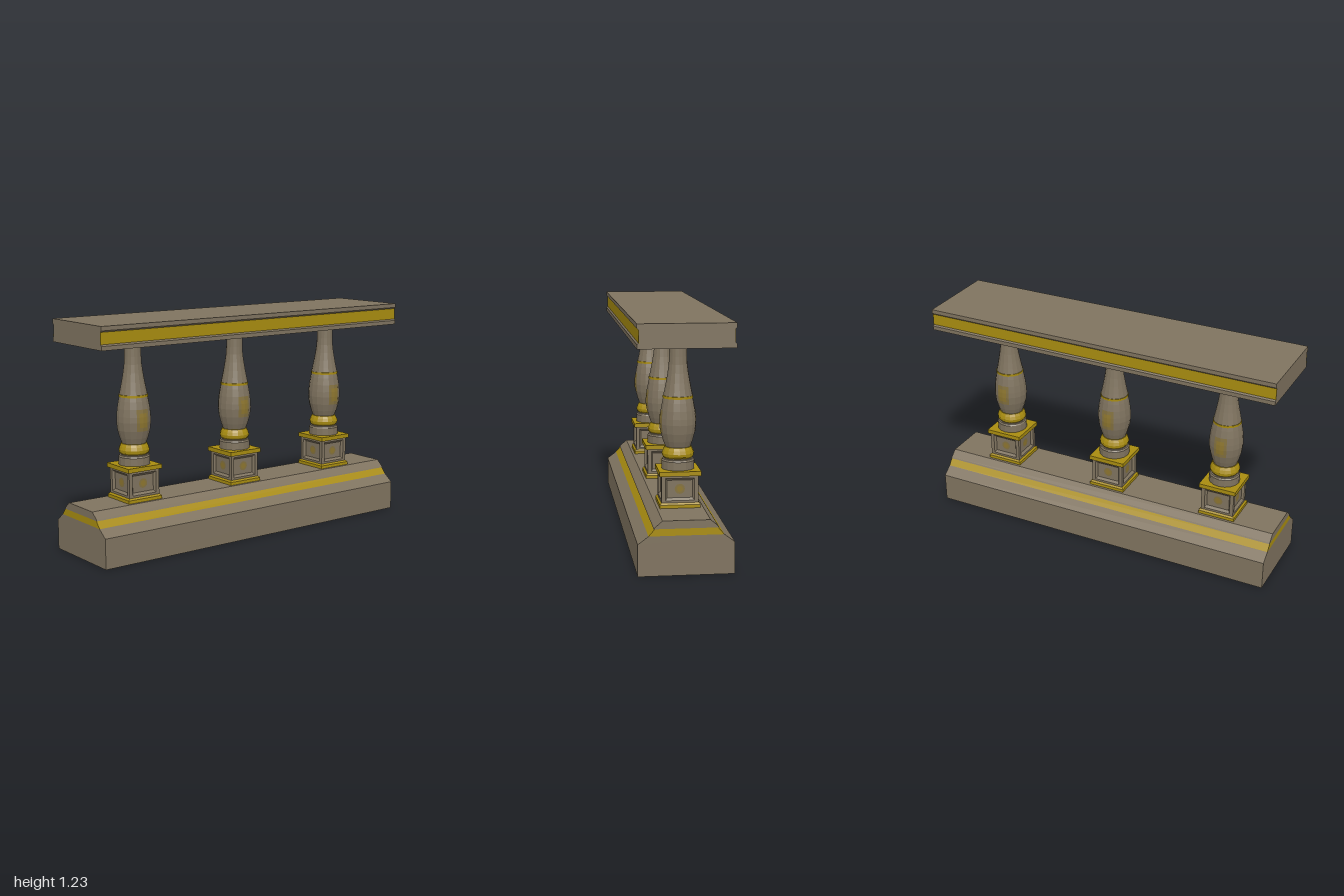
import * as THREE from 'three';

const mat = (name, color) => {
  const m = new THREE.MeshStandardMaterial({ color, flatShading: true });
  m.name = name;
  return m;
};

export function createModel() {
  const stone = mat('stone', 0x7f735f);
  const gold = mat('gold', 0xa88c10);
  const tintLight = mat('faintGold', 0x83713f);
  const tintStrong = mat('softGold', 0x8c752f);

  const add = (parent, name, geometry, material) => {
    const mesh = new THREE.Mesh(geometry, material);
    mesh.name = name;
    parent.add(mesh);
    return mesh;
  };

  // Symmetric half profile [z, y], listed upwards, run along the full length
  const beam = (half) => {
    const pts = [...half, ...half.map(([z, y]) => [-z, y]).reverse()];
    const shape = new THREE.Shape(pts.map(([z, y]) => new THREE.Vector2(z, y)));
    return new THREE.ExtrudeGeometry(shape, { depth: 2, bevelEnabled: false })
      .translate(0, 0, -1).rotateY(Math.PI / 2);
  };

  // Turned profile [radius, y], listed upwards
  const turned = (pts, segments = 16, start = 0, length = Math.PI * 2) =>
    new THREE.LatheGeometry(pts.map(([r, y]) => new THREE.Vector2(r, y)), segments, start, length);

  // Square block from [half width, y]
  const square = (pts) => turned(pts.map(([h, y]) => [h * Math.SQRT2, y]), 4, Math.PI / 4);

  // Panel face made of nested rectangles [half width, half height, depth], closed at the last
  const panel = (rings) => {
    const pos = [];
    const corners = rings.map(([w, h, d]) => [[-w, -h, d], [w, -h, d], [w, h, d], [-w, h, d]]);
    const quad = (a, b, c, d) => pos.push(...a, ...b, ...c, ...a, ...c, ...d);
    for (let i = 0; i < rings.length - 1; i++)
      for (let k = 0; k < 4; k++) {
        const n = (k + 1) % 4;
        quad(corners[i][k], corners[i][n], corners[i + 1][n], corners[i + 1][k]);
      }
    quad(...corners[rings.length - 1]);
    const g = new THREE.BufferGeometry();
    g.setAttribute('position', new THREE.Float32BufferAttribute(pos, 3));
    g.computeVertexNormals();
    return g;
  };

  const model = new THREE.Group();
  model.name = 'balustrade';

  // Stepped base with a gold band
  add(model, 'baseLower', beam([[0.238, 0], [0.238, 0.16], [0.185, 0.2]]), stone);
  add(model, 'baseBand', beam([[0.185, 0.2], [0.155, 0.235]]), gold);
  add(model, 'baseUpper', beam([[0.16, 0.235], [0.155, 0.242], [0.117, 0.275]]), stone);

  // Handrail with a gold inlay in the groove of each long side
  add(model, 'handrail', beam([
    [0.238, 1.106], [0.238, 1.128], [0.228, 1.138], [0.228, 1.194], [0.238, 1.204], [0.238, 1.226],
  ]), stone);
  for (const s of [1, -1])
    add(model, 'handrailInlay', new THREE.BoxGeometry(2, 0.064, 0.004), gold)
      .position.set(0, 1.166, s * 0.2285);

  const bellyProfile = [
    [0.064, 0.573], [0.076, 0.605], [0.087, 0.645], [0.092, 0.69],
    [0.091, 0.72], [0.087, 0.76], [0.08, 0.8], [0.075, 0.822],
  ];
  const segment = Math.PI / 8;

  const makeBaluster = () => {
    const b = new THREE.Group();
    b.name = 'baluster';

    // Square pedestal
    add(b, 'pedestalFoot', square([[0.103, 0.275], [0.103, 0.292], [0.094, 0.301]]), gold);
    for (let i = 0; i < 4; i++) {
      const side = new THREE.Group();
      side.name = 'pedestalSide';
      side.position.y = 0.369;
      side.rotation.y = i * Math.PI / 2;
      add(side, 'pedestalPanel', panel([
        [0.093, 0.072, 0.093], [0.073, 0.057, 0.093], [0.064, 0.045, 0.08],
      ]), stone);
      add(side, 'panelSpotOuter', new THREE.CircleGeometry(0.026, 12), tintLight).position.z = 0.081;
      add(side, 'panelSpotInner', new THREE.CircleGeometry(0.016, 12), tintStrong).position.z = 0.082;
      b.add(side);
    }
    add(b, 'pedestalCap', square([[0, 0.438], [0.105, 0.438], [0.105, 0.461], [0, 0.461]]), gold);

    // Turned shaft, from the bottom up
    add(b, 'shaftDisc', turned([
      [0.084, 0.46], [0.084, 0.503], [0.078, 0.511], [0.07, 0.512], [0.07, 0.524],
    ]), stone);
    add(b, 'shaftCollar', turned([
      [0.06, 0.518], [0.072, 0.518], [0.08, 0.527], [0.082, 0.541], [0.076, 0.558],
      [0.068, 0.573], [0.055, 0.575],
    ]), gold);
    add(b, 'belly', turned(bellyProfile), stone);
    add(b, 'waistRing', turned([
      [0.07, 0.82], [0.077, 0.82], [0.077, 0.832], [0.07, 0.834],
    ]), gold);
    add(b, 'neck', turned([
      [0.075, 0.832], [0.069, 0.86], [0.061, 0.9], [0.053, 0.945],
      [0.047, 0.99], [0.045, 1.03], [0.044, 1.082],
    ]), stone);
    add(b, 'neckCap', turned([
      [0.04, 1.08], [0.052, 1.08], [0.057, 1.088], [0.057, 1.106],
    ]), gold);

    // Soft gold patches on the front and back of the belly
    const patch = (from, to, lift) => bellyProfile.slice(from, to).map(([r, y]) => [r + lift, y]);
    for (const facing of [0, Math.PI]) {
      add(b, 'bellyPatchOuter', turned(patch(2, 6, 0.001), 2, facing - segment, segment * 2), tintLight);
      add(b, 'bellyPatchInner', turned([[0.0925, 0.665], [0.0945, 0.69], [0.0935, 0.72], [0.091, 0.74]],
        2, facing - segment * 0.6, segment * 1.2), tintStrong);
    }
    return b;
  };

  for (const x of [-0.668, -0.003, 0.663]) {
    const b = makeBaluster();
    b.position.x = x;
    model.add(b);
  }

  return model;
}
